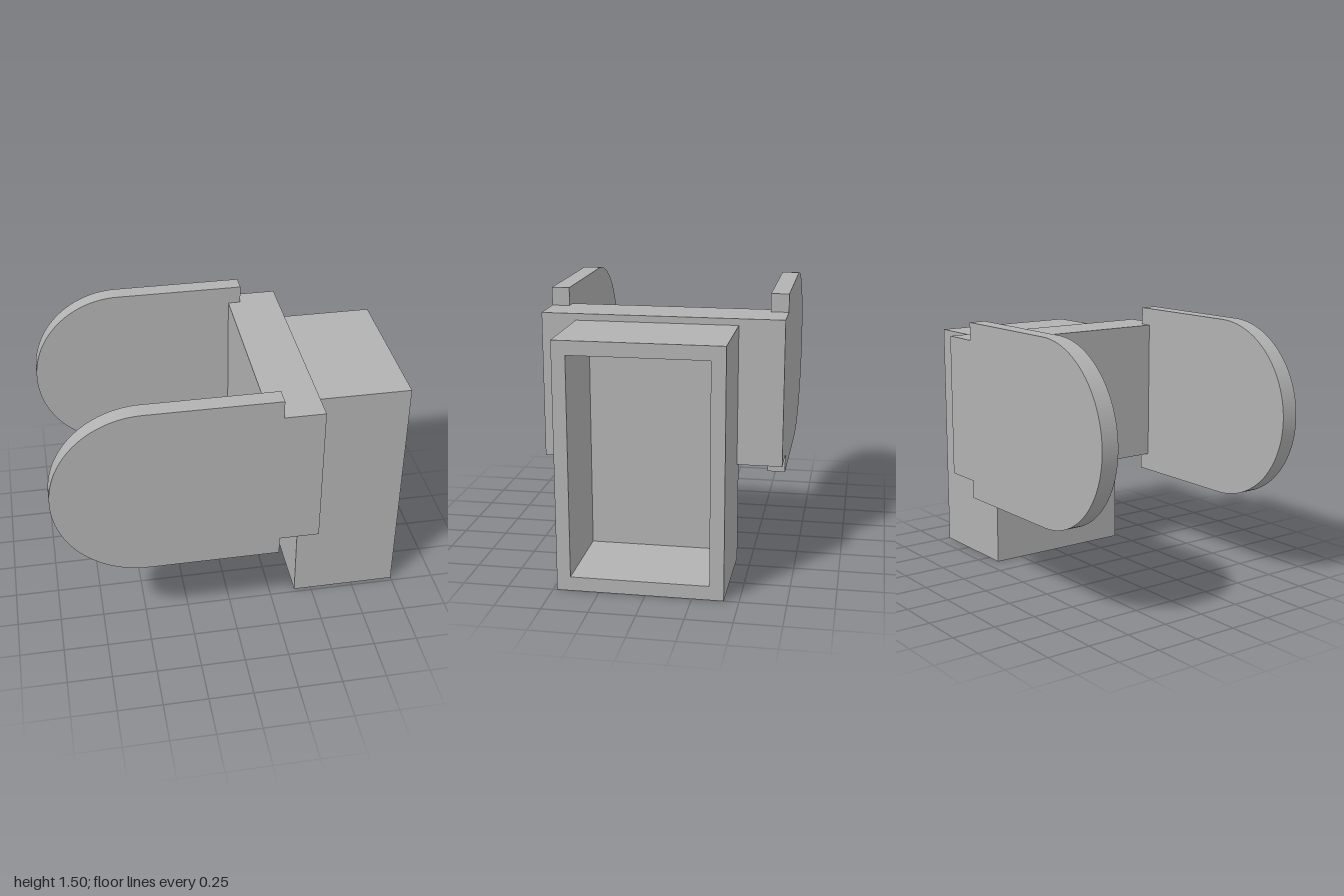
import * as THREE from 'three';

const grey = new THREE.MeshStandardMaterial({ color: 0xb2b2b2 });
grey.name = 'plain grey';

export function createModel() {
  const model = new THREE.Group();
  model.name = 'bracket';

  const add = (name, geometry) => {
    const mesh = new THREE.Mesh(geometry, grey);
    mesh.name = name;
    model.add(mesh);
    return mesh;
  };

  // Box given by its two extreme corners
  const addBlock = (name, [x0, y0, z0], [x1, y1, z1]) => {
    add(name, new THREE.BoxGeometry(x1 - x0, y1 - y0, z1 - z0))
      .position.set((x0 + x1) / 2, (y0 + y1) / 2, (z0 + z1) / 2);
  };

  const rectangle = (path, x0, y0, x1, y1) => {
    path.moveTo(x0, y0).lineTo(x1, y0).lineTo(x1, y1).lineTo(x0, y1).closePath();
    return path;
  };

  // Housing walls: rectangular frame extruded along x, open at the +x end
  const backWallX = 0.478;
  const frame = rectangle(new THREE.Shape(), -0.478, 0, 0.42, 1.365);
  frame.holes.push(rectangle(new THREE.Path(), -0.404, 0.078, 0.343, 1.288));
  const walls = new THREE.ExtrudeGeometry(frame, { depth: 1 - backWallX, bevelEnabled: false });
  walls.rotateY(Math.PI / 2).translate(backWallX, 0, 0);
  add('housingWalls', walls);

  // Housing closed end
  addBlock('housingBack', [0.4, 0, -0.42], [backWallX, 1.365, 0.478]);

  // Crossbar joining the two cheek plates
  addBlock('crossbar', [0.178, 0.583, -0.57], [0.475, 1.402, 0.57]);

  // Cheek plates: rounded end, stepped down to a tab beside the crossbar
  const bottom = 0.48, top = 1.504, radius = (top - bottom) / 2;
  const outline = new THREE.Shape();
  outline.moveTo(-1 + radius, bottom);
  outline.lineTo(0.25, bottom).lineTo(0.25, 0.583).lineTo(0.475, 0.583);
  outline.lineTo(0.475, 1.402).lineTo(0.25, 1.402).lineTo(0.25, top);
  outline.lineTo(-1 + radius, top);
  outline.absarc(-1 + radius, bottom + radius, radius, Math.PI / 2, Math.PI * 1.5, false);
  const plate = new THREE.ExtrudeGeometry(outline, { depth: 0.1, bevelEnabled: false, curveSegments: 40 });
  add('frontPlate', plate).position.z = 0.57;
  add('backPlate', plate).position.z = -0.67;

  return model;
}
